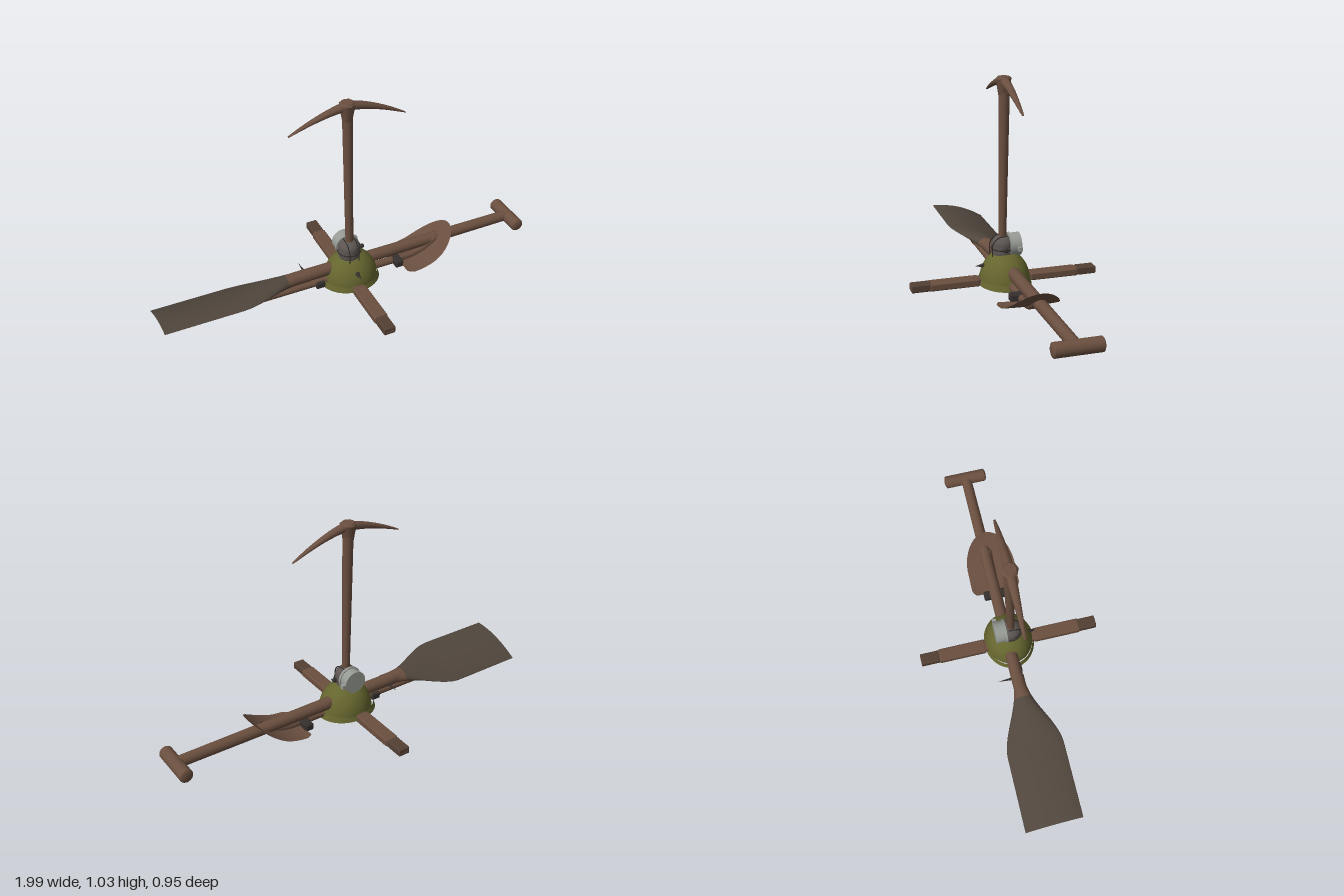
import * as THREE from 'three';
import { ParametricGeometry } from 'three/addons/geometries/ParametricGeometry.js';
import { RoundedBoxGeometry } from 'three/addons/geometries/RoundedBoxGeometry.js';

const material = (name, color, side = THREE.FrontSide) => {
  const m = new THREE.MeshStandardMaterial({ color, side });
  m.name = name;
  return m;
};

export function createModel() {
  const model = new THREE.Group();
  const wood = material('brown wood', 0x6a4f3f);
  const darkWood = material('dark wood', 0x544034);
  const bladeWood = material('grey brown blade', 0x50463d, THREE.DoubleSide);
  const rust = material('rusty steel', 0x6a4f40, THREE.DoubleSide);
  const green = material('olive green', 0x65652f, THREE.DoubleSide);
  const grey = material('light grey metal', 0x969a94);
  const dim = material('dim lamp shell', 0x5c5552);
  const iron = material('dark iron', 0x35302e);

  const add = (name, geometry, mat, x = 0, y = 0, z = 0, parent = model) => {
    const mesh = new THREE.Mesh(geometry, mat);
    mesh.name = name;
    mesh.position.set(x, y, z);
    parent.add(mesh);
    return mesh;
  };
  // Round bar between two points
  const bar = (name, a, b, ra, rb, mat, sides = 20) => {
    const p = new THREE.Vector3(...a), q = new THREE.Vector3(...b);
    const mesh = add(name, new THREE.CylinderGeometry(rb, ra, p.distanceTo(q), sides), mat);
    mesh.position.copy(p).add(q).multiplyScalar(0.5);
    mesh.quaternion.setFromUnitVectors(new THREE.Vector3(0, 1, 0), q.sub(p).normalize());
    return mesh;
  };
  const wire = (name, points, r, mat) => add(name, new THREE.TubeGeometry(
    new THREE.CatmullRomCurve3(points.map(p => new THREE.Vector3(...p))), 24, r, 6), mat);

  // Helmet: squashed dome with a thin rim
  const dome = add('helmetShell', new THREE.SphereGeometry(1, 40, 20, 0, Math.PI * 2, 0, Math.PI / 2), green, 0.01, 0.02, 0);
  dome.scale.set(0.138, 0.15, 0.125);
  const brim = add('helmetBrim', new THREE.CylinderGeometry(0.93, 1, 0.03, 40, 1, true), green, 0.005, 0.022, 0);
  brim.scale.set(0.155, 1, 0.133);

  // Paddle: shaft, cross grip and a tilted, slightly arched blade
  bar('paddleShaft', [-0.3, 0.086, -0.01], [0.96, 0.088, -0.02], 0.033, 0.028, wood);
  bar('paddleGrip', [0.96, 0.086, -0.13], [0.96, 0.086, 0.08], 0.034, 0.034, wood);
  for (const z of [-0.13, 0.08]) {
    const end = add('paddleGripEnd', new THREE.SphereGeometry(0.034, 16, 10), wood, 0.96, 0.086, z);
    end.scale.z = 0.35;
  }
  const paddle = (x0, x1) => new ParametricGeometry((u, v, out) => {
    const x = x0 + (x1 - x0) * u, a = v * Math.PI * 2;
    const k = 1 - THREE.MathUtils.smoothstep(x, -0.62, -0.26);
    const w = 0.033 + 0.112 * k, c = Math.cos(a);
    const h = x < -0.995 ? 0 : 0.033 - 0.026 * k;
    out.set(x, 0.086 - 0.018 * k + h * Math.sin(a) + k * (0.043 * c + 0.022 * (1 - c * c)), -0.008 + w * c);
  }, 32, 40);
  add('paddleBlade', paddle(-1, -0.34), bladeWood);
  add('paddleNeck', paddle(-0.34, -0.22), rust);

  // Shovel: dished blade curling upward at the tip
  add('shovelBlade', new ParametricGeometry((u, v, out) => {
    const t = Math.sin(u * Math.PI / 2), s = v * 2 - 1;
    const x = 0.285 + 0.293 * t;
    const tip = Math.max(0, (x - 0.42) / 0.158);
    const corner = Math.min(1, 0.86 + (x - 0.285) * 6);
    const w = 0.13 * corner * Math.sqrt(Math.max(0, 1 - tip * tip));
    out.set(x, 0.016 + 0.152 * Math.pow(t, 2.2) + 0.008 * s * s * (1 - t), s * w);
  }, 32, 20), rust);
  wire('shovelSocket', [[0.27, 0.03, 0], [0.36, 0.033, 0], [0.43, 0.052, 0], [0.5, 0.097, 0]], 0.02, rust);
  add('shovelHinge', new RoundedBoxGeometry(0.045, 0.04, 0.13, 2, 0.01), iron, 0.268, 0.032, -0.01);
  bar('shovelHandle', [-0.55, 0.027, 0], [0.27, 0.03, 0], 0.017, 0.02, wood);
  bar('shovelHandleEnd', [-0.585, 0.028, 0], [-0.54, 0.028, 0], 0.02, 0.02, darkWood);
  add('handleCollar', new RoundedBoxGeometry(0.05, 0.035, 0.06, 2, 0.008), iron, -0.165, 0.024, 0);
  const hook = add('sideHook', new THREE.ConeGeometry(0.008, 0.08, 8), iron, -0.228, 0.085, -0.075);
  hook.rotation.x = -Math.PI / 2;

  // Front lug of the helmet
  const lug = add('helmetSpike', new THREE.ConeGeometry(0.012, 0.045, 8), iron, 0, 0.1, 0.125);
  lug.rotation.x = Math.PI / 2;

  // Ground beam running front to back, stepped towards its ends
  add('groundBeam', new RoundedBoxGeometry(0.058, 0.036, 0.95, 2, 0.008), wood, -0.003, 0.021, -0.004);
  for (const s of [-1, 1]) {
    add('beamSleeve', new RoundedBoxGeometry(0.07, 0.038, 0.25, 2, 0.008), wood, -0.003, 0.022, s * 0.255);
    add('beamEndBand', new RoundedBoxGeometry(0.06, 0.038, 0.1, 2, 0.006), darkWood, -0.003, 0.022, s * 0.425 - 0.004);
    add('underBoard', new THREE.BoxGeometry(0.2, 0.014, 0.025), darkWood, 0, 0.012, s * 0.04);
  }

  // Lamp: rounded front shell with wire guard, ridged can behind
  const cap = add('lampShell', new THREE.CapsuleGeometry(0.056, 0.05, 8, 24), dim, 0, 0.186, 0.005);
  cap.scale.y = 0.8;
  const can = add('lampCan', new THREE.CylinderGeometry(0.055, 0.058, 0.058, 28), grey, 0, 0.197, -0.048);
  can.rotation.x = Math.PI / 2;
  const rim = add('lampCanRim', new THREE.CylinderGeometry(0.062, 0.062, 0.012, 20), grey, 0, 0.196, -0.024);
  rim.rotation.x = Math.PI / 2;
  add('lampBolt', new THREE.BoxGeometry(0.02, 0.02, 0.02), grey, 0.065, 0.19, -0.065);
  for (const x of [-0.025, 0.025])
    wire('lampGuardWire', [[x, 0.15, 0.066], [x, 0.21, 0.064], [x, 0.242, 0.035], [x, 0.248, -0.01]], 0.003, iron);
  const ring = add('lampGuardRing', new THREE.TorusGeometry(0.06, 0.003, 6, 32), iron, 0, 0.185, 0.005);
  ring.rotation.x = Math.PI / 2;
  add('lampKnob', new THREE.SphereGeometry(0.012, 12, 8), iron, 0.068, 0.19, 0.01);

  // Pickaxe: tapering handle, flared socket and curved two-pointed head
  bar('pickHandle', [0, 0.16, 0.01], [-0.005, 0.96, -0.003], 0.019, 0.026, wood);
  const socket = add('pickSocket', new THREE.CylinderGeometry(0.041, 0.026, 0.085, 8), rust, -0.008, 0.98, 0);
  socket.scale.z = 0.95;
  add('pickSocketTop', new THREE.CylinderGeometry(0.03, 0.041, 0.012, 8), rust, -0.008, 1.026, 0);
  add('pickHead', new ParametricGeometry((u, v, out) => {
    const s = u * 2 - 1, a = v * Math.PI * 2;
    const taper = Math.pow(1 - Math.abs(s), 0.75);
    const drop = (s > 0 ? 0.105 : 0.09) * Math.pow(Math.abs(s), 1.5);
    out.set(-0.003 + 0.298 * s, 1.01 - drop + (0.002 + 0.021 * taper) * Math.sin(a),
      (0.005 + 0.02 * taper) * Math.cos(a));
  }, 40, 12), rust);

  return model;
}
